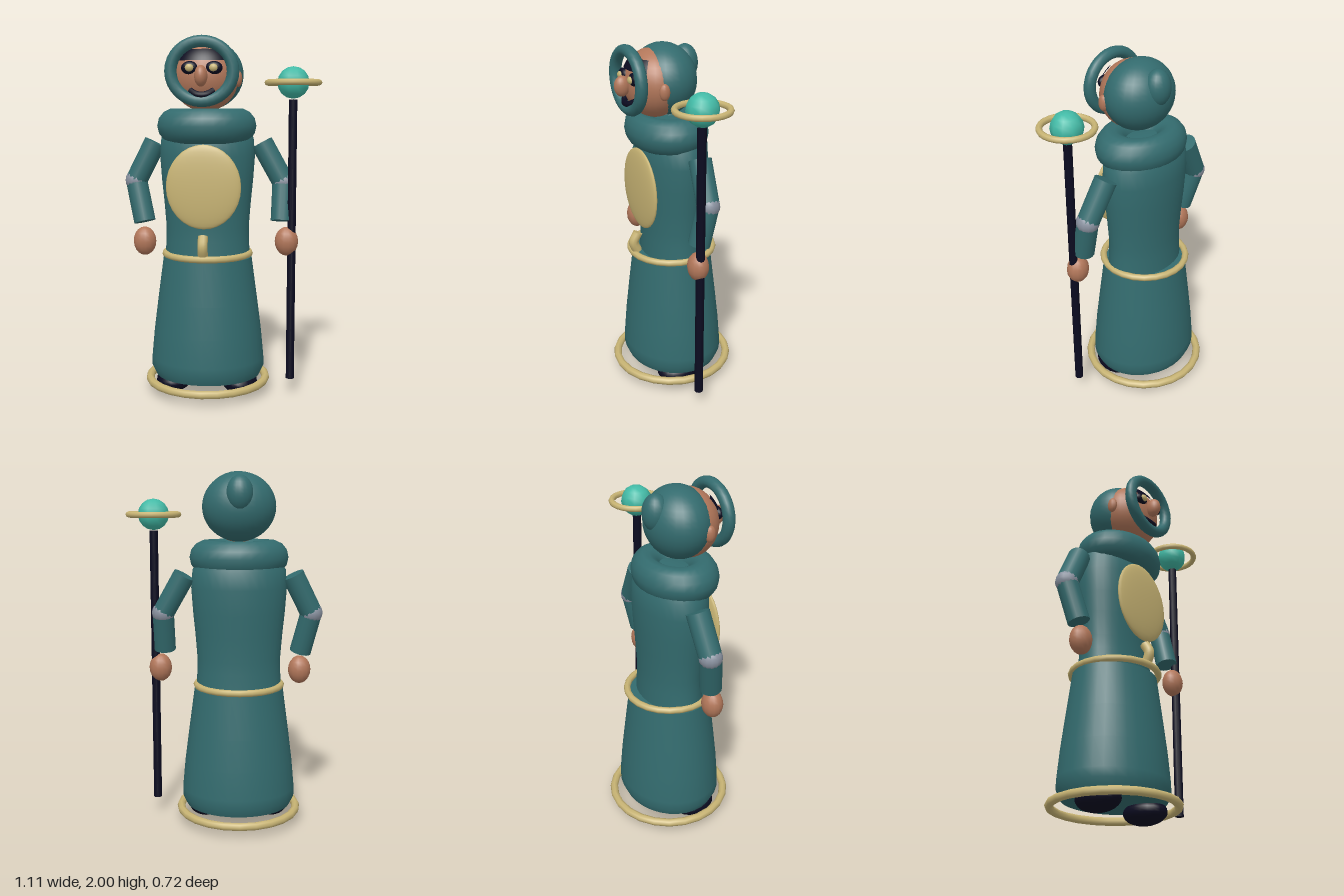
import * as THREE from 'three';
import { toCreasedNormals } from 'three/addons/utils/BufferGeometryUtils.js';

const mat = (name, color) => {
  const m = new THREE.MeshStandardMaterial({ color });
  m.name = name;
  return m;
};

export function createModel() {
  const cloth = mat('teal cloth', 0x336b6e);
  const gold = mat('pale gold', 0xc8b474);
  const skin = mat('skin', 0xb2775a);
  const dark = mat('midnight', 0x0b0b20);
  const glow = mat('turquoise', 0x42baa6);
  const grey = mat('grey', 0x8a92a0);

  const model = new THREE.Group();
  model.name = 'robedFigure';
  // the figure stands a little to its right, the staff to its left
  const figure = new THREE.Group();
  figure.name = 'figure';
  figure.position.x = -0.083;
  model.add(figure);

  const add = (parent, name, geo, material, x = 0, y = 0, z = 0) => {
    const m = new THREE.Mesh(geo, material);
    m.name = name;
    m.position.set(x, y, z);
    parent.add(m);
    return m;
  };
  const ball = (parent, name, material, [x, y, z], [rx, ry, rz], w = 20, h = 14) => {
    const m = add(parent, name, new THREE.SphereGeometry(1, w, h), material, x, y, z);
    m.scale.set(rx, ry, rz);
    return m;
  };
  const ring = (parent, name, material, [x, y, z], r, tube) =>
    add(parent, name, new THREE.TorusGeometry(r, tube, 8, 24).rotateX(Math.PI / 2), material, x, y, z);
  const lathe = (name, pts, material, depth) => {
    const geo = new THREE.LatheGeometry(pts.map(p => new THREE.Vector2(...p)), 32);
    geo.scale(1, 1, depth);
    return add(figure, name, toCreasedNormals(geo, 0.8), material);
  };
  const limb = (name, a, b, ra, rb) => {
    const p = new THREE.Vector3(...a), q = new THREE.Vector3(...b);
    const d = q.clone().sub(p);
    const m = add(model, name, new THREE.CylinderGeometry(rb, ra, d.length(), 16), cloth);
    m.position.copy(p).add(q).multiplyScalar(0.5);
    m.quaternion.setFromUnitVectors(new THREE.Vector3(0, 1, 0), d.normalize());
  };
  const tube = (name, pts, r, material) => {
    const curve = new THREE.CatmullRomCurve3(pts.map(p => new THREE.Vector3(...p)));
    add(figure, name, new THREE.TubeGeometry(curve, 12, r, 10), material);
    // closed ends
    [0, 1].forEach(t => {
      const cap = add(figure, name + 'End', new THREE.CircleGeometry(r, 10), material);
      cap.position.copy(curve.getPoint(t));
      const dir = curve.getTangent(t).multiplyScalar(t ? 1 : -1);
      cap.quaternion.setFromUnitVectors(new THREE.Vector3(0, 0, 1), dir);
    });
  };

  // robe
  lathe('skirt', [[0, 0.1], [0.3, 0.1], [0.324, 0.15], [0.323, 0.2], [0.308, 0.36], [0.285, 0.54], [0.252, 0.785], [0, 0.785]], cloth, 0.87);
  lathe('torso', [[0, 0.76], [0.245, 0.76], [0.236, 0.88], [0.235, 0.96], [0.246, 1.1], [0.258, 1.22], [0.268, 1.36], [0.26, 1.46], [0.2, 1.55], [0, 1.58]], cloth, 0.69);
  const collar = ring(figure, 'collar', cloth, [0, 1.525, 0.03], 0.18, 0.097);
  collar.geometry = new THREE.TorusGeometry(0.18, 0.097, 14, 28).rotateX(Math.PI / 2);
  collar.scale.z = 0.79;

  // gold trim
  ring(figure, 'hemRing', gold, [0, 0.075, 0], 0.335, 0.023);
  ring(figure, 'belt', gold, [0, 0.805, 0], 0.24, 0.019);
  ball(figure, 'chestDisc', gold, [0, 1.197, 0.192], [0.206, 0.231, 0.03], 32, 16);
  tube('beltClasp', [[0, 0.93, 0.213], [0, 0.875, 0.24], [0, 0.82, 0.22]], 0.028, gold);

  // head and hood
  ball(figure, 'head', skin, [0, 1.79, 0.1], [0.185, 0.185, 0.162], 28, 20);
  ball(figure, 'hood', cloth, [0, 1.803, 0.045], [0.206, 0.192, 0.173], 28, 20);
  ball(figure, 'hoodKnot', cloth, [0, 1.875, -0.085], [0.074, 0.1, 0.07]);
  const rim = add(figure, 'hoodRim', new THREE.TorusGeometry(0.166, 0.033, 12, 32), cloth, 0, 1.815, 0.25);
  rim.scale.y = 0.94;

  // face
  const fringe = add(figure, 'fringe', new THREE.SphereGeometry(1, 16, 6, Math.PI / 2 - 0.85, 1.7, 0.72, 0.4), dark, 0, 1.79, 0.1);
  fringe.scale.set(0.192, 0.19, 0.172);
  ball(figure, 'nose', skin, [0, 1.79, 0.285], [0.035, 0.056, 0.044]);
  tube('mouth', [[-0.062, 1.715, 0.24], [-0.03, 1.697, 0.26], [0, 1.693, 0.265], [0.03, 1.697, 0.26], [0.062, 1.715, 0.24]], 0.017, dark);
  for (const s of [-1, 1]) {
    ball(figure, 'eyeSocket', dark, [s * 0.064, 1.833, 0.242], [0.046, 0.035, 0.028]);
    ball(figure, 'pupil', gold, [s * 0.064, 1.833, 0.267], [0.023, 0.02, 0.013], 12, 8);
    ball(figure, 'ear', skin, [s * 0.183, 1.78, 0.127], [0.022, 0.045, 0.03], 12, 10);
    ball(figure, 'foot', dark, [s * 0.19, 0.07, 0.055], [0.1, 0.066, 0.128]);
  }

  // arms: shoulder, elbow, wrist and hand on each side
  const arms = [
    ['left', [0.222, 1.43, -0.015], [0.343, 1.215, 0], [0.338, 1.0, 0.05], [0.367, 0.888, 0.07]],
    ['right', [-0.382, 1.43, -0.015], [-0.49, 1.215, 0], [-0.436, 0.985, 0.045], [-0.434, 0.876, 0.06]],
  ];
  for (const [side, shoulder, elbow, wrist, hand] of arms) {
    limb(side + 'UpperArm', shoulder, elbow, 0.063, 0.062);
    limb(side + 'Forearm', elbow, wrist, 0.06, 0.061);
    ball(model, side + 'Elbow', grey, elbow, [0.064, 0.064, 0.064], 14, 10);
    ball(model, side + 'Hand', skin, hand, [0.065, 0.081, 0.058], 14, 10);
  }

  // staff
  add(model, 'staffPole', new THREE.CylinderGeometry(0.024, 0.024, 1.57, 10), dark, 0.395, 0.885, 0.072);
  ball(model, 'staffOrb', glow, [0.395, 1.76, 0.07], [0.087, 0.087, 0.087], 10, 8);
  ring(model, 'staffRing', gold, [0.395, 1.76, 0.07], 0.139, 0.017);

  return model;
}
